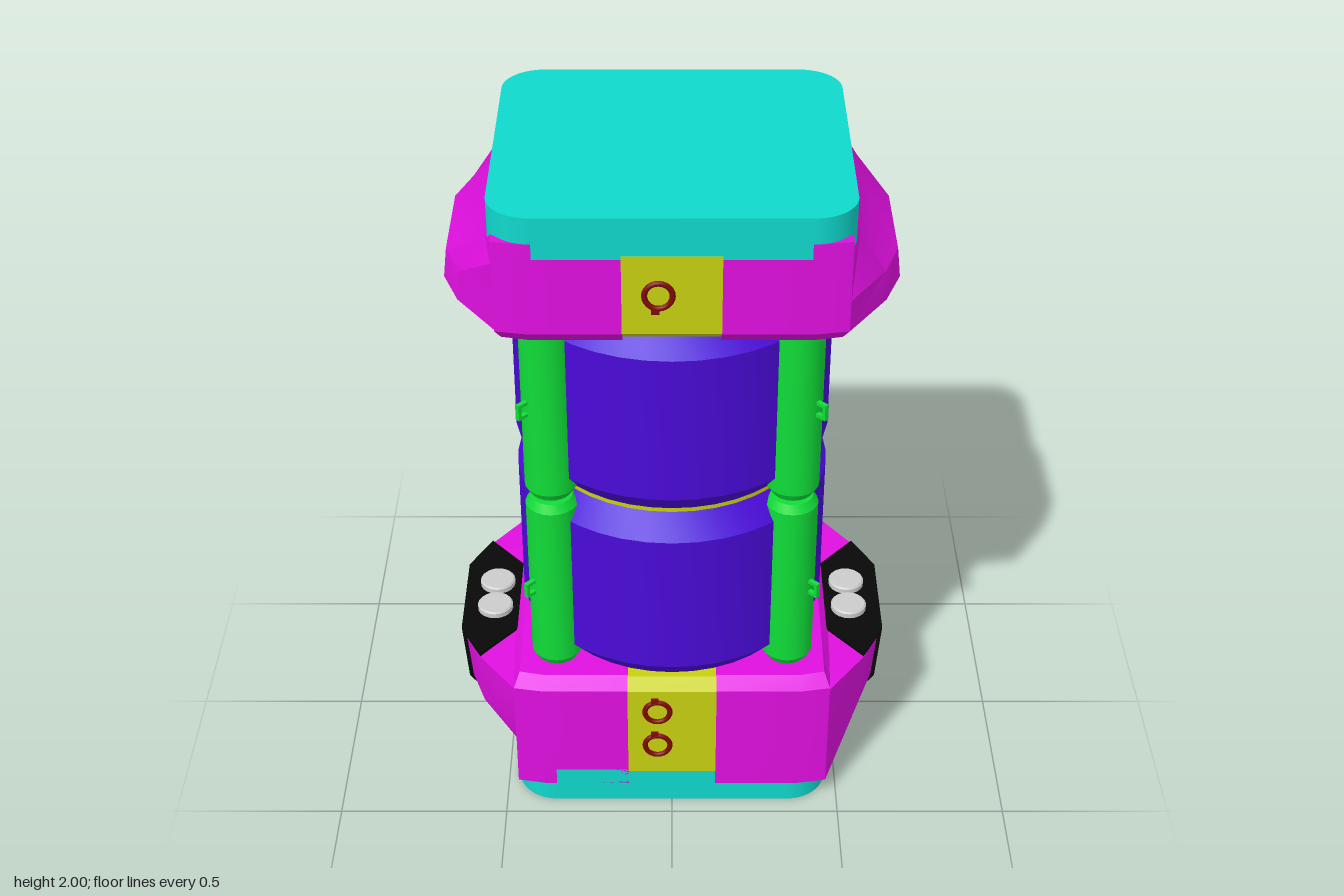
import * as THREE from 'three';
import { toCreasedNormals } from 'three/addons/utils/BufferGeometryUtils.js';

const paint = (color) => new THREE.MeshStandardMaterial({ color });
const TEAL = paint(0x10d8cc), MAGENTA = paint(0xe010e0), YELLOW = paint(0xc8d010), BLUE = paint(0x4a0ad8);
const GREEN = paint(0x10dc38), RED = paint(0x800808), BLACK = paint(0x080808), GREY = paint(0xcccccc);

function add(parent, name, geometry, material, x = 0, y = 0, z = 0) {
  const mesh = new THREE.Mesh(geometry, material);
  mesh.name = name;
  mesh.position.set(x, y, z);
  parent.add(mesh);
  return mesh;
}

const polygon = (pts) => new THREE.Shape(pts.map(([x, y]) => new THREE.Vector2(x, y)));
const extrude = (shape, depth) => new THREE.ExtrudeGeometry(shape, { depth, bevelEnabled: false, curveSegments: 8 });
const lathe = (pts, sides) =>
  toCreasedNormals(new THREE.LatheGeometry(pts.map(([r, y]) => new THREE.Vector2(r, y)), sides), 0.45);

// Square end plate with rounded corners
function plateGeometry(w, d, h, r) {
  const s = new THREE.Shape();
  s.moveTo(w - r, -d);
  s.absarc(w - r, -d + r, r, -Math.PI / 2, 0);
  s.absarc(w - r, d - r, r, 0, Math.PI / 2);
  s.absarc(-w + r, d - r, r, Math.PI / 2, Math.PI);
  s.absarc(-w + r, -d + r, r, Math.PI, Math.PI * 1.5);
  return toCreasedNormals(extrude(s, h).rotateX(-Math.PI / 2), 0.6);
}

// Half collar: stacked outlines [y, side reach, inset, wave at the rim], joined and capped
function collarGeometry(sections) {
  const rings = sections.map(([y, reach, inset, wave]) => {
    const cx = 0.465 - inset * 0.4, cz = 0.43 - inset, fz = 0.445 - inset;
    const mid = cx + (reach - cx) * 0.7;
    const half = [[0.13, fz, 0], [0.38, fz, 0], [cx, cz, 0], [mid, 0.275, wave], [reach, 0.15, 0]];
    const back = half.map(([x, z, w]) => [x, -z, w]).reverse();
    return [...half, ...back].map(([x, z, w]) => [x, y + w, z]);
  });
  const pos = [], n = rings[0].length;
  const tri = (...corners) => corners.forEach((c) => pos.push(...c));
  const last = rings.length - 1;
  const low = [0.3, sections[0][0], 0], high = [0.3, sections[last][0], 0];
  for (let i = 0; i < n; i++) {
    const j = (i + 1) % n;
    for (let k = 0; k < last; k++) {
      tri(rings[k][i], rings[k][j], rings[k + 1][j]);
      tri(rings[k][i], rings[k + 1][j], rings[k + 1][i]);
    }
    tri(high, rings[last][i], rings[last][j]);
    tri(low, rings[0][j], rings[0][i]);
  }
  const g = new THREE.BufferGeometry();
  g.setAttribute('position', new THREE.Float32BufferAttribute(pos, 3));
  return toCreasedNormals(g, 0.5);
}

export function createModel() {
  const model = new THREE.Group();
  model.name = 'canister';

  // End plates
  add(model, 'basePlate', plateGeometry(0.468, 0.445, 0.12, 0.12), TEAL);
  add(model, 'topPlate', plateGeometry(0.48, 0.445, 0.12, 0.12), TEAL, 0, 1.88);

  // Flared collars, two halves each
  const lowerCollar = collarGeometry([
    [0.065, 0.48, 0, 0.025], [0.25, 0.615, 0, 0], [0.425, 0.63, 0, 0], [0.43, 0.475, 0, 0], [0.46, 0.45, 0.04, 0],
  ]);
  const upperCollar = collarGeometry([
    [1.62, 0.45, 0.035, 0], [1.658, 0.475, 0, 0], [1.663, 0.62, 0, 0], [1.75, 0.61, 0, 0],
    [1.86, 0.505, 0, 0], [1.925, 0.475, 0, -0.02],
  ]);
  for (const turn of [0, Math.PI]) {
    add(model, 'lowerCollar', lowerCollar, MAGENTA).rotation.y = turn;
    add(model, 'upperCollar', upperCollar, MAGENTA).rotation.y = turn;
  }

  // Yellow bands running front to back between the collar halves
  const band = (a, b) => extrude(polygon(a.concat(b)), 0.262).rotateY(-Math.PI / 2).translate(0.131, 0, 0);
  add(model, 'lowerBand', band([[-0.446, 0.115], [0.446, 0.115]],
    [[0.446, 0.43], [0.41, 0.457], [-0.41, 0.457], [-0.446, 0.43]]), YELLOW);
  add(model, 'upperBand', band([[-0.41, 1.63], [0.41, 1.63]],
    [[0.446, 1.66], [0.446, 1.89], [-0.446, 1.89], [-0.446, 1.66]]), YELLOW);

  // Red ring pulls on both faces, each with a small tab
  const ring = new THREE.TorusGeometry(0.037, 0.008, 8, 24);
  for (const side of [1, -1]) {
    for (const [x, y, tab] of [[-0.035, 1.775, -1], [-0.043, 0.352, 1], [-0.043, 0.222, 1]]) {
      add(model, 'ringPull', ring, RED, x, y, side * 0.447);
      add(model, 'ringTab', new THREE.BoxGeometry(0.022, 0.018, 0.014), RED, x - 0.008, y + tab * 0.043, side * 0.447);
    }
  }

  // Two stacked drums with chamfered rims and a thin joint between them
  const drum = lathe([[0, 0], [0.395, 0], [0.455, 0.07], [0.455, 0.52], [0.395, 0.585], [0, 0.585]], 40);
  add(model, 'lowerDrum', drum, BLUE, 0, 0.462);
  add(model, 'upperDrum', drum, BLUE, 0, 1.06);
  add(model, 'joint', new THREE.CylinderGeometry(0.395, 0.395, 0.016, 40), YELLOW, 0, 1.054);

  // Corner rods with narrowed ends and a small square loop on each
  const rod = lathe([[0, 0], [0.06, 0], [0.075, 0.025], [0.075, 0.555], [0.06, 0.58], [0, 0.58]], 20);
  const loopShape = polygon([[-0.022, -0.024], [0.022, -0.024], [0.022, 0.024], [-0.022, 0.024]]);
  loopShape.holes.push(polygon([[-0.012, -0.014], [-0.012, 0.014], [0.012, 0.014], [0.012, -0.014]]));
  const loop = extrude(loopShape, 0.014).translate(0, 0, -0.007);
  for (const sx of [1, -1]) {
    for (const sz of [1, -1]) {
      for (const [base, loopY] of [[0.465, 0.747], [1.06, 1.362]]) {
        add(model, 'cornerRod', rod, GREEN, sx * 0.34, base, sz * 0.3);
        const clip = add(model, 'rodLoop', loop, GREEN, sx * 0.405, loopY, sz * 0.355);
        clip.rotation.y = Math.atan2(-sz, sx);
      }
    }
  }
  // Rod ends reaching into the upper collar
  for (const sx of [1, -1]) for (const sz of [1, -1]) {
    add(model, 'rodEnd', new THREE.CylinderGeometry(0.06, 0.06, 0.05, 20), GREEN, sx * 0.34, 1.63, sz * 0.3);
  }

  // Black side straps with a pointed shelf plate and two bolts
  const strap = extrude(polygon([[0.45, 0.06], [0.486, 0.06], [0.625, 0.245], [0.64, 0.432], [0.45, 0.432]]), 0.31)
    .translate(0, 0, -0.155);
  const shelf = extrude(polygon([[0.47, -0.16], [0.575, -0.28], [0.64, -0.155], [0.64, 0.155], [0.575, 0.28], [0.47, 0.16]]), 0.012)
    .rotateX(-Math.PI / 2).translate(0, 0.425, 0);
  const bolt = lathe([[0, 0], [0.054, 0], [0.054, 0.018], [0.049, 0.023], [0, 0.023]], 20);
  for (const turn of [0, Math.PI]) {
    const side = new THREE.Group();
    side.name = 'sideStrap';
    side.rotation.y = turn;
    add(side, 'strap', strap, BLACK);
    add(side, 'shelfPlate', shelf, BLACK);
    for (const z of [-0.06, 0.06]) add(side, 'bolt', bolt, GREY, 0.543, 0.434, z);
    model.add(side);
  }
  return model;
}
